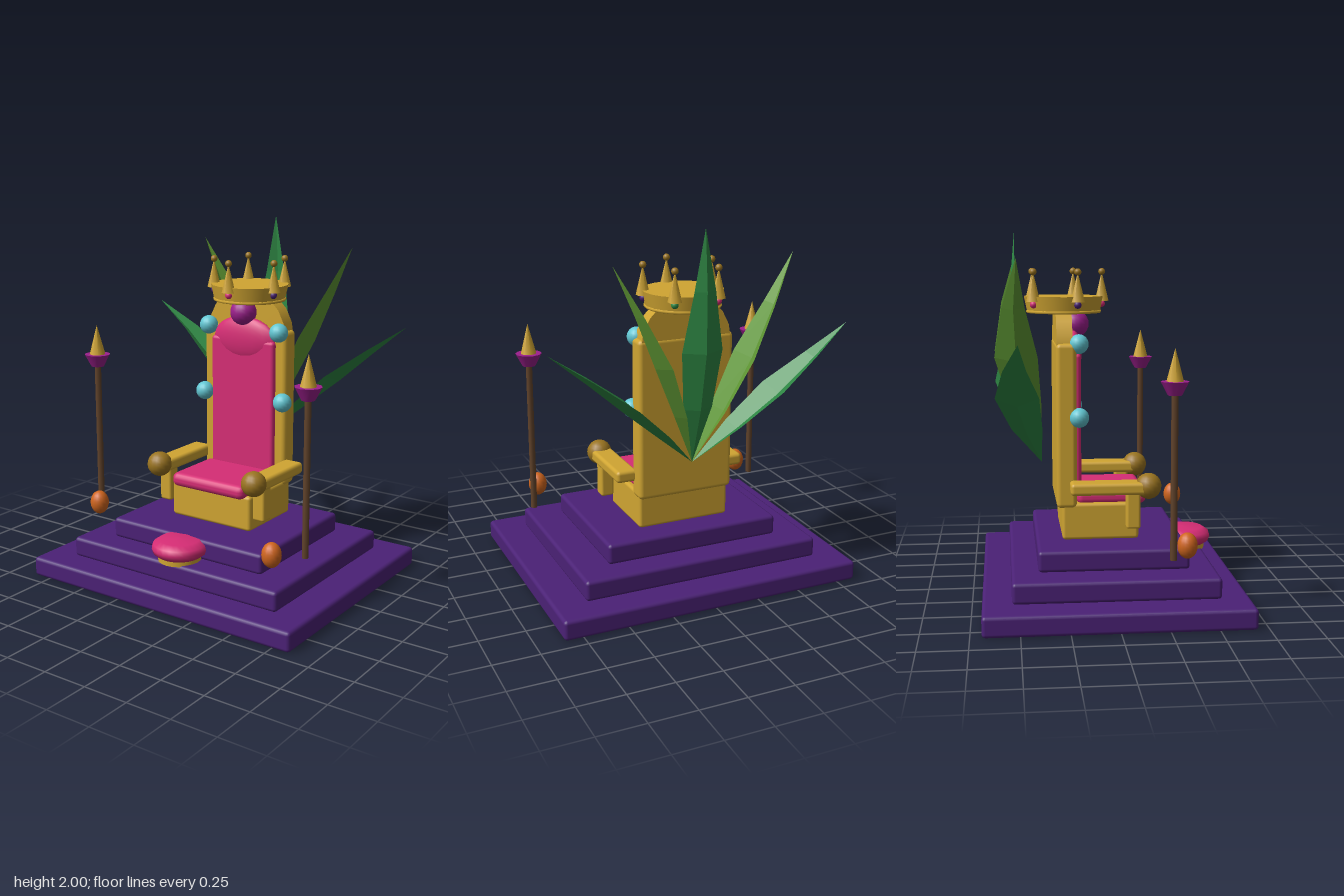
import * as THREE from 'three';
import { RoundedBoxGeometry } from 'three/addons/geometries/RoundedBoxGeometry.js';

const material = (name, color, extra = {}) => {
  const m = new THREE.MeshStandardMaterial({ color, ...extra });
  m.name = name;
  return m;
};

export function createModel() {
  const model = new THREE.Group();
  model.name = 'throne';

  const purple = material('royal purple', 0x4b2176);
  const gold = material('gold', 0xd0a532);
  const darkGold = material('dark gold', 0x9a7420);
  const pink = material('pink velvet', 0xd62d75);
  const magenta = material('magenta', 0x9c1f8c);
  const cyan = material('turquoise', 0x62c6d2);
  const wood = material('brown wood', 0x60422a);
  const orange = material('orange', 0xcf651e);
  const green = material('leaf green', 0x2f8a45, { side: THREE.DoubleSide });
  const lime = material('light leaf green', 0x629c36, { side: THREE.DoubleSide });

  const add = (name, geometry, mat, x = 0, y = 0, z = 0, parent = model) => {
    const mesh = new THREE.Mesh(geometry, mat);
    mesh.name = name;
    mesh.position.set(x, y, z);
    parent.add(mesh);
    return mesh;
  };
  // Rounded box given by its limits on y and z, centred on x
  const block = (name, mat, x, width, y0, y1, z0, z1, radius = 0.018) =>
    add(name, new RoundedBoxGeometry(width, y1 - y0, z1 - z0, 2, radius), mat,
      x, (y0 + y1) / 2, (z0 + z1) / 2);
  const ball = (name, mat, r, x, y, z, parent = model) =>
    add(name, new THREE.SphereGeometry(r, 16, 12), mat, x, y, z, parent);

  // Stepped platform
  block('lowerStep', purple, 0, 1.71, 0, 0.11, -0.692, 0.692, 0.02);
  block('middleStep', purple, 0, 1.36, 0.11, 0.222, -0.54, 0.54, 0.02);
  block('upperStep', purple, 0, 1.0, 0.222, 0.335, -0.4, 0.4, 0.02);

  // Seat and backrest
  block('seatBase', gold, 0, 0.53, 0.335, 0.535, -0.26, 0.155);
  block('seatCushion', pink, 0, 0.485, 0.52, 0.6, -0.18, 0.2, 0.035);
  block('backFrame', gold, 0, 0.55, 0.51, 1.4, -0.29, -0.18, 0.025);
  add('backArch', new THREE.CylinderGeometry(0.26, 0.26, 0.085, 20).rotateX(Math.PI / 2),
    gold, 0, 1.36, -0.243);
  block('backCushion', pink, 0, 0.42, 0.58, 1.34, -0.21, -0.152, 0.02);
  ball('backCushionDome', pink, 1, 0, 1.335, -0.185).scale.set(0.208, 0.128, 0.048);
  ball('backJewel', magenta, 0.075, 0, 1.49, -0.17);

  for (const side of [-1, 1]) {
    // Arms and side beads
    block('armRest', gold, side * 0.317, 0.12, 0.598, 0.665, -0.22, 0.2, 0.02);
    block('armPost', gold, side * 0.318, 0.076, 0.41, 0.63, 0.078, 0.155, 0.014);
    ball('armKnob', darkGold, 0.07, side * 0.32, 0.638, 0.2);
    ball('upperBead', cyan, 0.053, side * 0.236, 1.395, -0.167);
    ball('lowerBead', cyan, 0.053, side * 0.265, 1.003, -0.167);

    // Standing spear
    const spear = new THREE.Group();
    spear.name = 'spear';
    spear.position.set(side * 0.695, 0, 0.28);
    model.add(spear);
    add('shaft', new THREE.CylinderGeometry(0.018, 0.018, 0.87, 8), wood, 0, 0.765, 0, spear);
    add('collar', new THREE.CylinderGeometry(0.073, 0.036, 0.07, 10), magenta, 0, 1.208, 0, spear);
    add('point', new THREE.ConeGeometry(0.045, 0.17, 8), gold, 0, 1.325, 0, spear);
  }

  // Orange eggs beside the spears
  for (const [x, z] of [[-0.64, 0.36], [0.61, 0.472]]) {
    ball('egg', orange, 0.053, x, 0.39, z).scale.y = 1.28;
  }

  // Round footstool
  add('footstoolBase', new THREE.CylinderGeometry(0.12, 0.12, 0.03, 20), gold, 0, 0.23, 0.44);
  const pad = [[0, 0.235], [0.11, 0.235], [0.145, 0.26], [0.153, 0.285], [0.145, 0.31], [0.11, 0.333], [0, 0.338]];
  add('footstoolCushion', new THREE.LatheGeometry(pad.map(p => new THREE.Vector2(...p)), 24),
    pink, 0, 0, 0.44);

  // Crown on top of the backrest
  const crown = new THREE.Group();
  crown.name = 'crown';
  crown.position.set(0, 1.6, -0.233);
  model.add(crown);
  add('crownBand', new THREE.CylinderGeometry(0.218, 0.2, 0.085, 20), gold, 0, 0, 0, crown);
  add('crownRim', new THREE.TorusGeometry(0.198, 0.009, 6, 24).rotateX(Math.PI / 2), gold, 0, -0.041, 0, crown);
  const jewelColours = [magenta, purple, green];
  jewelColours[0] = pink;
  for (let i = 0; i < 5; i++) {
    const a = (i * Math.PI * 2) / 5;
    const sx = Math.sin(a), cz = Math.cos(a);
    add('crownSpike', new THREE.ConeGeometry(0.038, 0.16, 6), gold, sx * 0.21, 0.095, cz * 0.21, crown);
    ball('crownTip', darkGold, 0.019, sx * 0.21, 0.175, cz * 0.21, crown);
    ball('crownJewel', jewelColours[i % 3], 0.02, sx * 0.208, 0, cz * 0.208, crown);
  }

  // Folded leaf blades fanned out behind the back
  const base = new THREE.Vector3(0, 0.72, -0.36);
  const halfWidths = [0, 0.083, 0.115, 0.06, 0];
  const leaf = (name, mat, x, y, across, bulge) => {
    const tip = new THREE.Vector3(x, y, -0.5);
    const normal = tip.clone().sub(base).cross(across).normalize();
    if (normal.y < 0) normal.negate();
    const points = [], index = [];
    halfWidths.forEach((w, i) => {
      const t = i / (halfWidths.length - 1);
      const mid = base.clone().lerp(tip, t).addScaledVector(bulge, Math.sin(Math.PI * t));
      for (const s of [-1, 0, 1]) {
        const p = mid.clone().addScaledVector(across, s * w)
          .addScaledVector(normal, (Math.abs(s) - 0.5) * w * 0.45);
        points.push(p.x, p.y, p.z);
      }
      if (i) for (const k of [0, 1]) {
        const a = (i - 1) * 3 + k, b = a + 3;
        index.push(a, a + 1, b, a + 1, b + 1, b);
      }
    });
    const indexed = new THREE.BufferGeometry();
    indexed.setAttribute('position', new THREE.Float32BufferAttribute(points, 3));
    indexed.setIndex(index);
    const geometry = indexed.toNonIndexed();
    geometry.computeVertexNormals();
    add(name, geometry, mat);
  };
  const alongX = new THREE.Vector3(1, 0, 0), alongZ = new THREE.Vector3(0, 0, 1);
  leaf('centreLeaf', green, 0, 2, alongX, new THREE.Vector3(0, 0, -0.07));
  for (const side of [-1, 1]) {
    leaf('innerLeaf', lime, side * 0.5, 1.85, alongZ, new THREE.Vector3(0, 0.03, -0.07));
    leaf('outerLeaf', green, side * 0.845, 1.44, alongZ, new THREE.Vector3(0, 0.03, -0.07));
  }
  return model;
}
